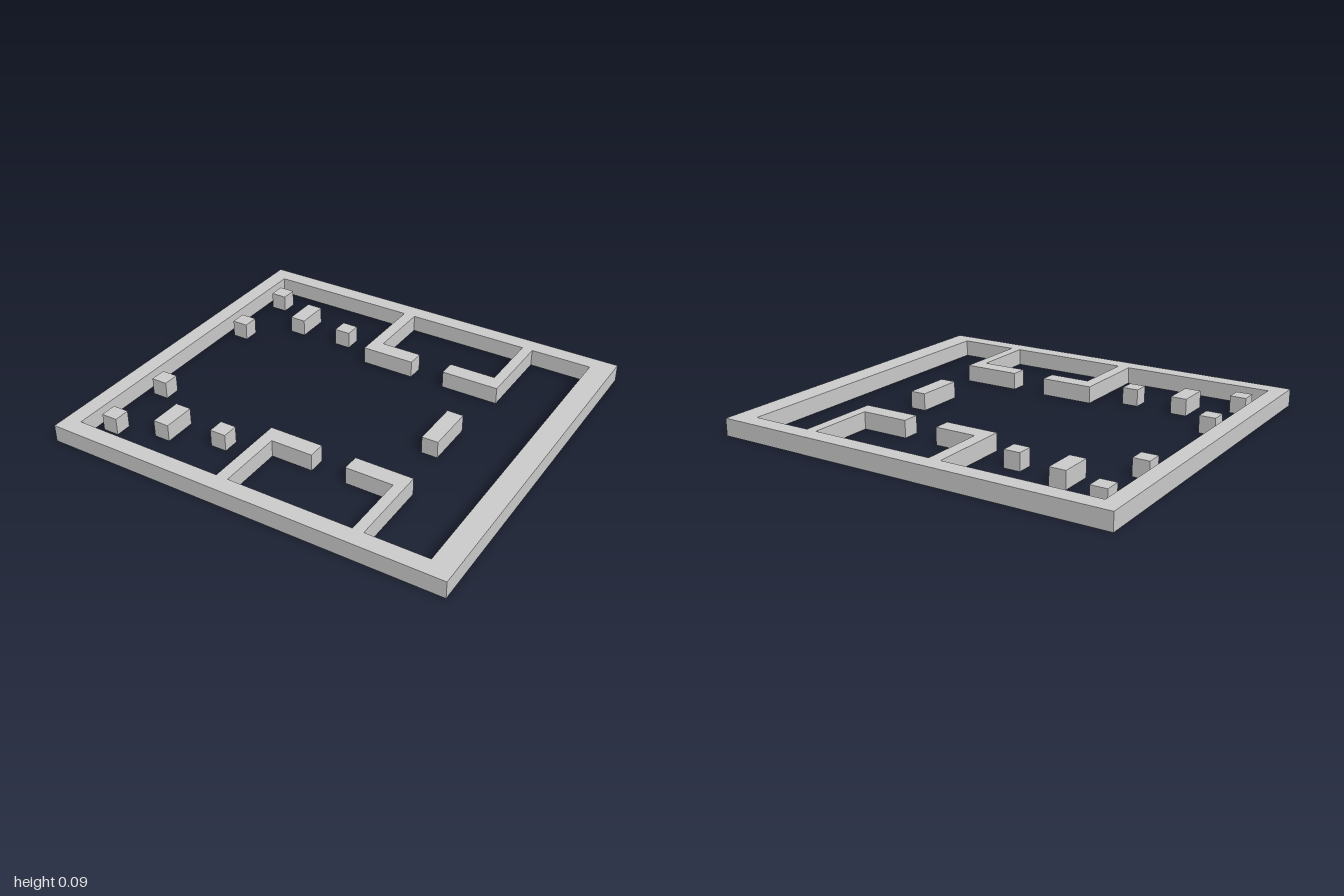
import * as THREE from 'three';

const HEIGHT = 0.085;

export function createModel() {
  const group = new THREE.Group();
  const material = new THREE.MeshStandardMaterial({ color: 0xcccccc, flatShading: true });

  // Perimeter walls and the two pairs of L-shaped partitions, as one plan.
  // The inner outline is traced for one half and mirrored for the other.
  const outer = [[-1, -0.914], [1, -0.914], [1, 0.914], [-1, 0.914]];
  const half = [
    [-0.918, 0.829], [-0.15, 0.829], [-0.15, 0.413], [0.12, 0.413], [0.12, 0.498],
    [-0.09, 0.498], [-0.09, 0.829], [0.53, 0.829], [0.53, 0.498], [0.294, 0.498],
    [0.294, 0.413], [0.583, 0.413], [0.583, 0.829], [0.888, 0.829],
  ];
  const inner = [...half, ...half.map(([x, z]) => [x, -z]).reverse()];
  const toPoints = (list) => list.map(([x, y]) => new THREE.Vector2(x, y));

  const plan = new THREE.Shape(toPoints(outer));
  plan.holes.push(new THREE.Path(toPoints(inner)));
  const wallGeometry = new THREE.ExtrudeGeometry(plan, { depth: HEIGHT, bevelEnabled: false });
  wallGeometry.rotateX(-Math.PI / 2);
  const walls = new THREE.Mesh(wallGeometry, material);
  walls.name = 'walls';
  group.add(walls);

  // Free-standing blocks
  const addBlock = (name, x, z, depth) => {
    const block = new THREE.Mesh(new THREE.BoxGeometry(0.081, HEIGHT, depth), material);
    block.position.set(x, HEIGHT / 2, z);
    block.name = name;
    group.add(block);
  };

  for (const [end, side] of [['Back', -1], ['Front', 1]]) {
    addBlock(`outerPillar${end}`, -0.835, side * 0.691, 0.081);
    addBlock(`innerPillar${end}`, -0.835, side * 0.331, 0.081);
    addBlock(`longBlock${end}`, -0.6, side * 0.566, 0.165);
    addBlock(`smallBlock${end}`, -0.333, side * 0.535, 0.081);
  }
  addBlock('centreBlock', 0.508, 0, 0.25);

  return group;
}
